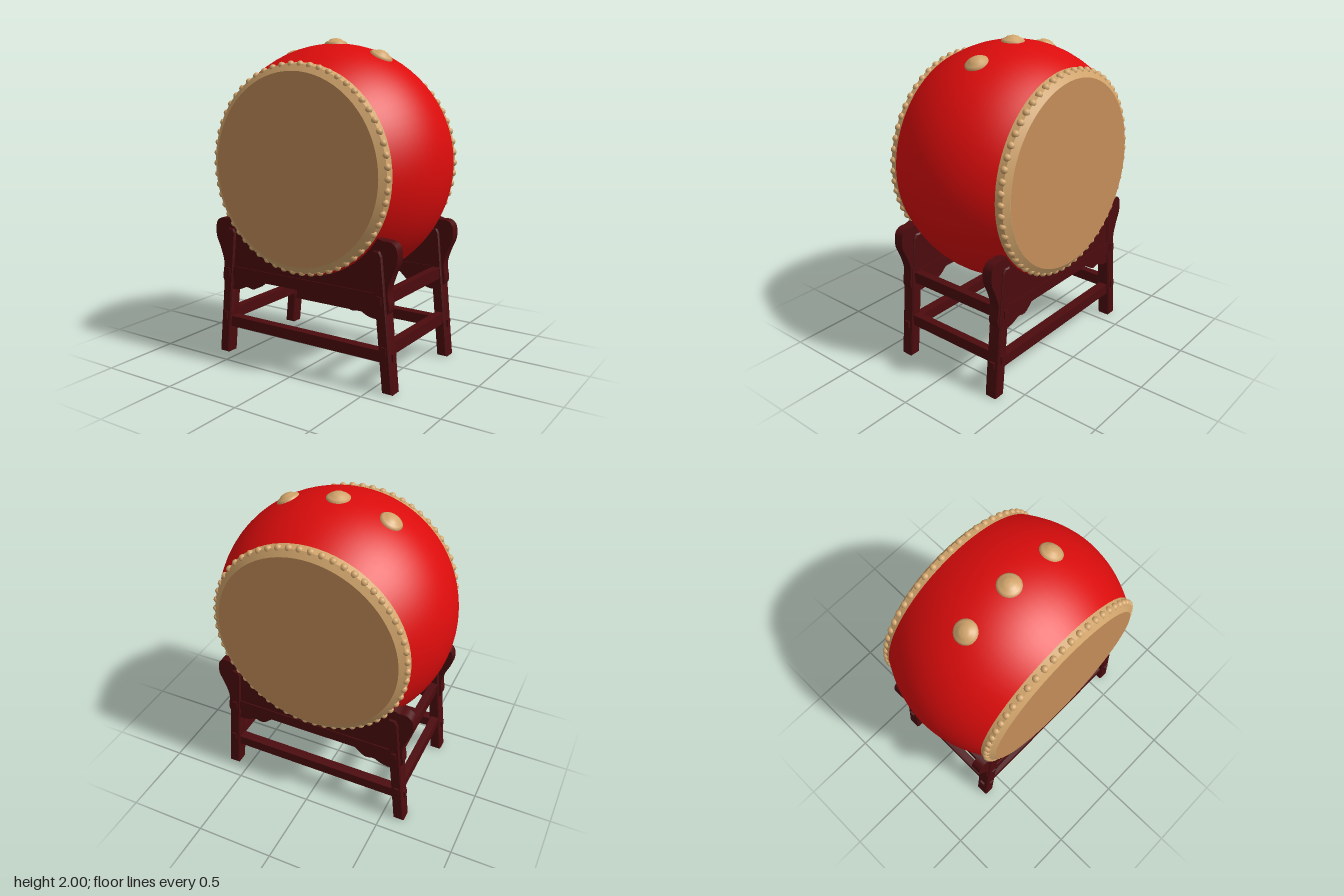
import * as THREE from 'three';
import { toCreasedNormals } from 'three/addons/utils/BufferGeometryUtils.js';

const CY = 1.24; // height of the drum axis

const mat = (name, color, side = THREE.FrontSide) => {
  const m = new THREE.MeshStandardMaterial({ color, side });
  m.name = name;
  return m;
};

export function createModel() {
  const red = mat('red lacquer', 0xdc0c0c);
  const skin = mat('drum skin', 0xc68e59);
  const tan = mat('pale hide', 0xd2a56c);
  const wood = mat('dark red wood', 0x4c0b0e);

  const model = new THREE.Group();
  model.name = 'standingDrum';
  const add = (parent, name, geometry, material, x = 0, y = 0, z = 0) => {
    const mesh = new THREE.Mesh(geometry, material);
    mesh.name = name;
    mesh.position.set(x, y, z);
    parent.add(mesh);
    return mesh;
  };
  const V = (x, y) => new THREE.Vector2(x, y);

  // Barrel: a bulging lathe lying along z
  const drum = new THREE.Group();
  drum.name = 'drum';
  drum.position.y = CY;
  model.add(drum);
  const profile = [];
  for (let i = 0; i <= 20; i++) {
    const z = -0.39 + 0.039 * i;
    profile.push(V(0.73 - 0.76 * z * z, z));
  }
  add(drum, 'barrel', new THREE.LatheGeometry(profile, 72), red).rotation.x = Math.PI / 2;

  // Heads: hide rim, skin and a ring of studs at each end
  const rimGeo = toCreasedNormals(new THREE.LatheGeometry(
    [V(0.6, 0.378), V(0.62, 0.38), V(0.612, 0.425), V(0.572, 0.45), V(0.56, 0.451)], 72), 0.4);
  const skinGeo = new THREE.CircleGeometry(0.572, 72);
  const studGeo = new THREE.SphereGeometry(0.022, 10, 8);
  const STUDS = 58;
  for (const end of ['front', 'back']) {
    const head = new THREE.Group();
    head.name = end + 'Head';
    if (end === 'back') head.rotation.y = Math.PI;
    drum.add(head);
    add(head, 'rim', rimGeo, tan).rotation.x = Math.PI / 2;
    add(head, 'skin', skinGeo, skin, 0, 0, 0.4515);
    for (let i = 0; i < STUDS; i++) {
      const a = (i / STUDS) * Math.PI * 2;
      add(head, 'stud', studGeo, tan, 0.608 * Math.cos(a), 0.608 * Math.sin(a), 0.412);
    }
  }

  // Three bosses on the crown
  const bossGeo = new THREE.LatheGeometry(
    [V(0.07, -0.02), V(0.07, 0.006), V(0.058, 0.016), V(0.042, 0.022), V(0.036, 0.029), V(0.02, 0.034), V(0, 0.036)], 24);
  for (const a of [-0.455, 0, 0.455]) {
    const boss = add(drum, 'boss', bossGeo, tan, 0.725 * Math.sin(a), 0.725 * Math.cos(a), 0);
    boss.rotation.z = -a;
  }

  // Stand
  const stand = new THREE.Group();
  stand.name = 'stand';
  model.add(stand);
  const extrude = (shape, depth, bevel = 0) => {
    const g = new THREE.ExtrudeGeometry(shape, {
      depth: depth - 2 * bevel, curveSegments: 10, bevelEnabled: bevel > 0,
      bevelSize: bevel, bevelOffset: -bevel, bevelThickness: bevel, bevelSegments: 1,
    });
    g.translate(0, 0, -depth / 2 + bevel);
    return toCreasedNormals(g, 0.6);
  };

  // Cradle half: curved ear, scrolled underside and a top cut to the barrel
  const cradleShape = (s) => {
    const ear = new THREE.SplineCurve([
      V(0.3, 0.5), V(0.36, 0.455), V(0.42, 0.462), V(0.47, 0.44), V(0.53, 0.432), V(0.585, 0.455),
      V(0.612, 0.5), V(0.6, 0.6), V(0.625, 0.69), V(0.658, 0.77), V(0.655, 0.85), V(0.62, 0.885), V(0.57, 0.888),
    ]).getPoints(48);
    const pts = [V(0, 0.52), V(0.28, 0.52), ...ear];
    const R = 0.632;
    for (let i = 0; i <= 16; i++) {
      const a = 1.0 * (1 - i / 16);
      pts.push(V(R * Math.sin(a), CY - R * Math.cos(a)));
    }
    return new THREE.Shape(pts.map((p) => V(p.x * s, p.y)));
  };
  const legShape = (s) => new THREE.Shape(
    [V(0.575, 0), V(0.645, 0), V(0.567, 0.8), V(0.55, 0.83), V(0.51, 0.83), V(0.496, 0.8)].map((p) => V(p.x * s, p.y)));

  for (const s of [1, -1]) {
    const side = s > 0 ? 'left' : 'right';
    const legGeo = extrude(legShape(s), 0.088, 0.008);
    const cradleGeo = extrude(cradleShape(s), 0.064);
    for (const z of [0.354, -0.354]) {
      add(stand, side + 'Leg', legGeo, wood, 0, 0, z);
      add(stand, side + 'Cradle', cradleGeo, wood, 0, 0, z);
    }
    // Rails joining front and back legs, with tenons showing through
    for (const [x, y] of [[0.555, 0.545], [0.586, 0.253]]) {
      add(stand, side + 'SideRail', new THREE.BoxGeometry(0.05, 0.072, 0.7), wood, s * x, y, 0);
      add(stand, side + 'Tenon', new THREE.BoxGeometry(0.03, 0.05, 0.815), wood, s * x, y, 0);
    }
  }

  // Rails joining left and right legs
  for (const z of [0.354, -0.354]) {
    add(stand, 'upperRail', new THREE.BoxGeometry(1.08, 0.072, 0.076), wood, 0, 0.547, z);
    add(stand, 'lowerRail', new THREE.BoxGeometry(1.17, 0.068, 0.06), wood, 0, 0.213, z);
    add(stand, 'lowerTenon', new THREE.BoxGeometry(1.27, 0.045, 0.035), wood, 0, 0.213, z);
  }
  return model;
}
